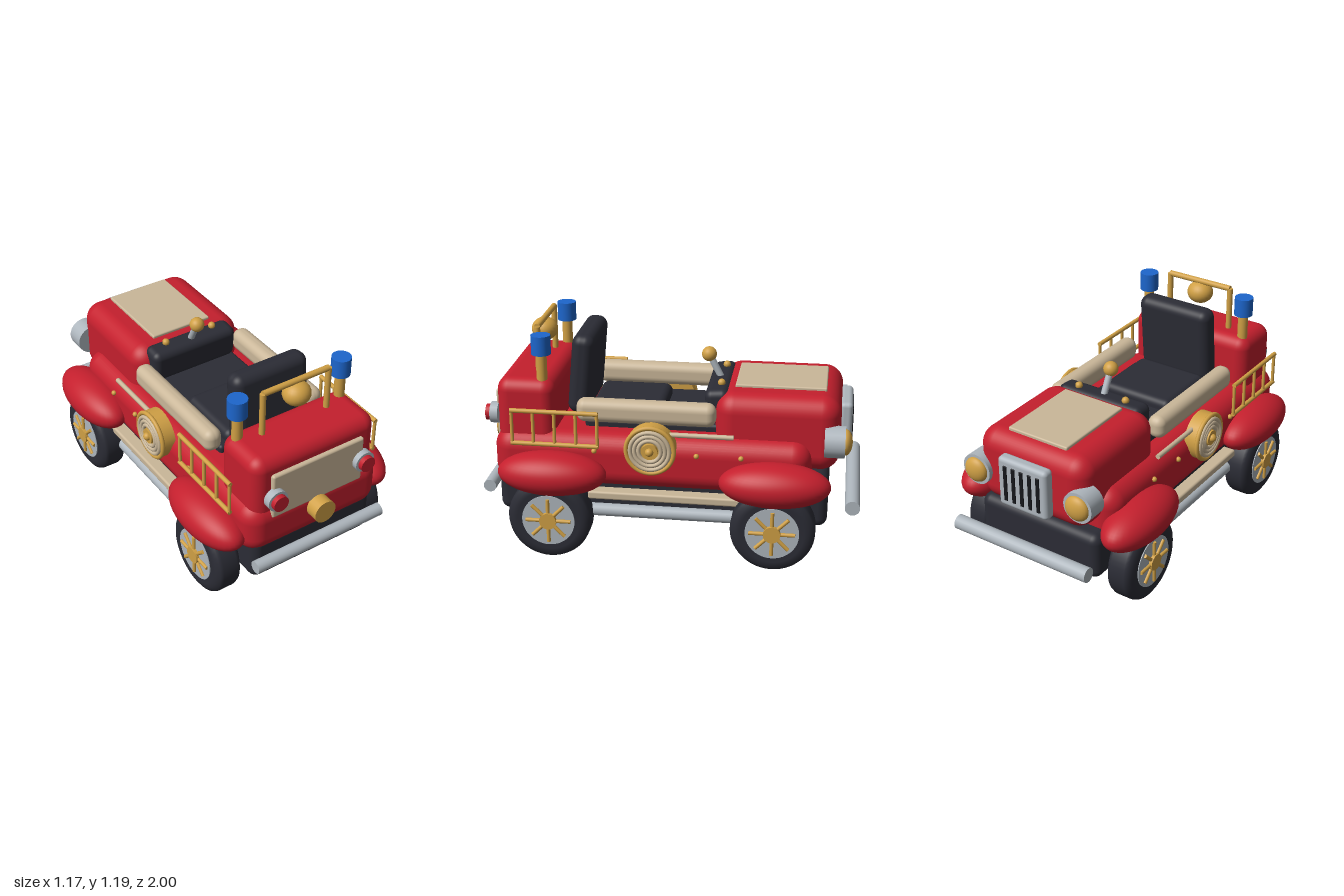
import * as THREE from 'three';
import { RoundedBoxGeometry } from 'three/addons/geometries/RoundedBoxGeometry.js';

const mat = (name, color) => {
  const m = new THREE.MeshStandardMaterial({ color });
  m.name = name;
  return m;
};

export function createModel() {
  const red = mat('red paint', 0xc41f2d), dark = mat('charcoal', 0x2b2c35);
  const gold = mat('brass', 0xd0a045), cream = mat('cream', 0xcab799);
  const chrome = mat('chrome', 0xaeb6bd), blue = mat('blue', 0x1d66cc);
  const black = mat('black', 0x15161a);
  const model = new THREE.Group();
  model.name = 'fireCar';

  const add = (name, geo, material, x = 0, y = 0, z = 0, parent = model) => {
    const m = new THREE.Mesh(geo, material);
    m.name = name;
    m.position.set(x, y, z);
    parent.add(m);
    return m;
  };
  // Rounded box given by its extents on each axis
  const box = (name, material, [x0, x1], [y0, y1], [z0, z1], r) =>
    add(name, new RoundedBoxGeometry(x1 - x0, y1 - y0, z1 - z0, 5, r), material,
      (x0 + x1) / 2, (y0 + y1) / 2, (z0 + z1) / 2);
  const ball = (name, material, r, x, y, z, parent = model) =>
    add(name, new THREE.SphereGeometry(r, 24, 16), material, x, y, z, parent);
  // Cylinder between two points
  const rod = (name, material, r, a, b, parent = model) => {
    const p = new THREE.Vector3(...a), q = new THREE.Vector3(...b);
    const d = q.clone().sub(p);
    const m = add(name, new THREE.CylinderGeometry(r, r, d.length(), 24), material, 0, 0, 0, parent);
    m.position.copy(p).add(q).multiplyScalar(0.5);
    m.quaternion.setFromUnitVectors(new THREE.Vector3(0, 1, 0), d.normalize());
    return m;
  };

  // Chassis and body
  box('chassis', dark, [-0.37, 0.37], [0.19, 0.45], [-0.83, 0.915], 0.05);
  box('lowerBody', red, [-0.41, 0.41], [0.36, 0.66], [-0.74, 0.93], 0.1);
  box('rearBody', red, [-0.37, 0.37], [0.5, 0.935], [0.6, 0.91], 0.07);
  box('hood', red, [-0.335, 0.335], [0.48, 0.885], [-0.88, -0.23], 0.1);
  box('hoodPanel', cream, [-0.18, 0.18], [0.875, 0.9], [-0.8, -0.325], 0.008);
  box('rearPanel', cream, [-0.275, 0.275], [0.58, 0.845], [0.895, 0.932], 0.012);

  // Cockpit
  box('cockpitFloor', dark, [-0.265, 0.265], [0.55, 0.7], [-0.3, 0.46], 0.02);
  box('seatCushion', dark, [-0.215, 0.215], [0.66, 0.755], [0.055, 0.45], 0.04);
  const back = box('seatBack', dark, [-0.222, 0.222], [0.7, 1.135], [0.43, 0.55], 0.05);
  back.rotation.x = -0.09;
  const dash = box('dashboard', dark, [-0.26, 0.26], [0.7, 0.885], [-0.305, -0.175], 0.04);
  dash.rotation.x = 0.08;
  rod('leverStick', chrome, 0.018, [0, 0.87, -0.235], [0, 1.0, -0.168]);
  ball('leverKnob', gold, 0.04, 0, 1.0, -0.168);

  // Front grille with dark slots
  box('grille', chrome, [-0.15, 0.15], [0.53, 0.81], [-0.937, -0.87], 0.024);
  for (let i = -2; i <= 2; i++)
    box('grilleSlot', black, [i * 0.05 - 0.011, i * 0.05 + 0.011], [0.57, 0.77], [-0.942, -0.933], 0.004);

  // Bumpers
  rod('frontBumper', chrome, 0.039, [-0.41, 0.335, -0.958], [0.41, 0.335, -0.958]);
  rod('rearBumper', chrome, 0.034, [-0.39, 0.337, 0.96], [0.39, 0.337, 0.96]);

  // Rear knob, roll bar and bell
  rod('rearKnob', gold, 0.063, [0, 0.54, 0.91], [0, 0.54, 1.0]);
  rod('rollBarTop', gold, 0.016, [-0.195, 1.173, 0.715], [0.195, 1.173, 0.715]);
  const bell = ball('bell', gold, 0.074, 0, 1.104, 0.722);
  bell.scale.set(1, 0.85, 0.95);

  // Tyre cross-section turned around its axle
  const tyreProfile = [[0.1, -0.068], [0.165, -0.075], [0.19, -0.072], [0.213, -0.058], [0.22, -0.04],
    [0.22, 0.04], [0.213, 0.058], [0.19, 0.072], [0.165, 0.075], [0.1, 0.068]]
    .map(p => new THREE.Vector2(...p));
  const tyreGeo = new THREE.LatheGeometry(tyreProfile, 48);

  const wheel = (s, z) => {
    const g = new THREE.Group();
    g.name = 'wheel';
    g.position.set(s * 0.448, 0.22, z);
    g.rotation.z = -s * Math.PI / 2;
    model.add(g);
    add('tyre', tyreGeo, dark, 0, 0, 0, g);
    add('wheelDisc', new THREE.CylinderGeometry(0.14, 0.14, 0.154, 40), chrome, 0, 0, 0, g);
    add('hub', new THREE.CylinderGeometry(0.045, 0.045, 0.03, 24), gold, 0, 0.08, 0, g);
    for (let i = 0; i < 8; i++) {
      const a = i * Math.PI / 4;
      rod('spoke', gold, 0.01, [0, 0.08, 0], [0.12 * Math.cos(a), 0.08, 0.12 * Math.sin(a)], g);
    }
  };

  for (const s of [-1, 1]) {
    const side = (a, b) => (s > 0 ? [a, b] : [-b, -a]);
    // Wheels and fenders
    for (const z of [0.615, -0.555]) wheel(s, z);
    for (const z of [0.605, -0.557]) {
      const f = add('fender', new THREE.SphereGeometry(1, 40, 28), red, s * 0.445, 0.458, z);
      f.scale.set(0.139, 0.117, 0.288);
    }
    // Side trim
    box('sideCushion', cream, side(0.262, 0.362), [0.71, 0.835], [-0.24, 0.49], 0.045);
    box('sillStrip', cream, side(0.34, 0.438), [0.315, 0.36], [-0.4, 0.42], 0.012);
    rod('sidePipe', chrome, 0.034, [s * 0.39, 0.238, -0.45], [s * 0.39, 0.238, 0.5]);
    rod('hoseNozzle', cream, 0.013, [s * 0.405, 0.69, 0.08], [s * 0.405, 0.69, -0.34]);
    for (const z of [0.385, -0.15, -0.38]) ball('rivet', gold, 0.014, s * 0.412, 0.58, z);

    // Hose reel
    rod('reelDrum', gold, 0.13, [s * 0.38, 0.615, 0.085], [s * 0.452, 0.615, 0.085]);
    const ring = (name, material, r, t, x) => {
      add(name, new THREE.TorusGeometry(r, t, 12, 48), material, s * x, 0.615, 0.085).rotation.y = Math.PI / 2;
    };
    ring('reelRim', gold, 0.124, 0.012, 0.455);
    for (const r of [0.102, 0.08, 0.058]) ring('hoseCoil', cream, r, 0.011, 0.462);
    rod('reelHub', gold, 0.042, [s * 0.44, 0.615, 0.085], [s * 0.475, 0.615, 0.085]);
    ball('reelKnob', gold, 0.022, s * 0.475, 0.615, 0.085);

    // Ladder rack
    for (const y of [0.797, 0.618])
      rod('ladderRail', gold, 0.012, [s * 0.445, y, 0.355], [s * 0.445, y, 0.815]);
    for (let i = 0; i < 5; i++) {
      const z = 0.36 + i * 0.112;
      rod('ladderRung', gold, 0.009, [s * 0.445, 0.618, z], [s * 0.445, 0.797, z]);
    }

    // Headlight
    rod('headlightCase', chrome, 0.084, [s * 0.312, 0.66, -0.8], [s * 0.312, 0.66, -0.905]);
    const lens = ball('headlightLens', gold, 0.068, s * 0.312, 0.66, -0.905);
    lens.scale.z = 0.55;

    // Tail light
    rod('tailLightBase', chrome, 0.057, [s * 0.265, 0.713, 0.92], [s * 0.265, 0.713, 0.962]);
    rod('tailLight', red, 0.043, [s * 0.265, 0.713, 0.95], [s * 0.265, 0.713, 0.988]);

    // Beacon, roll bar post and dashboard button
    rod('beaconPost', gold, 0.028, [s * 0.31, 0.9, 0.67], [s * 0.31, 1.07, 0.67]);
    rod('beacon', blue, 0.051, [s * 0.31, 1.065, 0.67], [s * 0.31, 1.167, 0.67]);
    rod('rollBarPost', gold, 0.016, [s * 0.195, 0.9, 0.715], [s * 0.195, 1.173, 0.715]);
    ball('dashButton', gold, 0.02, s * 0.147, 0.895, -0.25);
  }
  return model;
}
